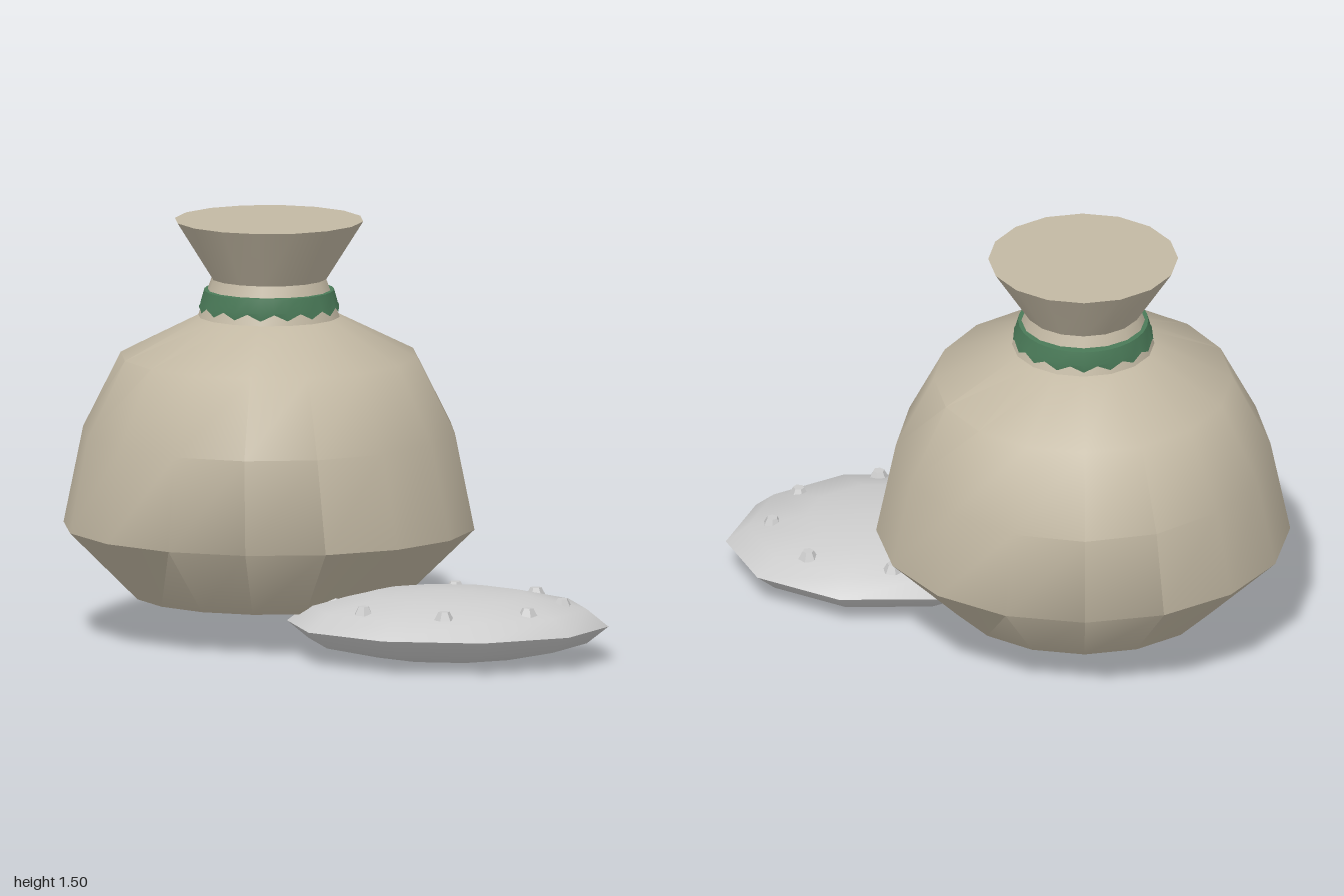
import * as THREE from 'three';
import { toCreasedNormals } from 'three/addons/utils/BufferGeometryUtils.js';

const CREASE = THREE.MathUtils.degToRad(40);

// Skin a stack of elliptical rings [y, radiusX, radiusZ, zigzag], bottom to top; radius 0 closes an end.
function loft(rings, sides) {
  const point = (i, j) => {
    const [y, rx, rz, zigzag = 0] = rings[i];
    const a = ((j % sides) / sides) * Math.PI * 2;
    return [rx * Math.cos(a), y + (j % 2 ? zigzag : 0), rz * Math.sin(a)];
  };
  const pos = [];
  for (let i = 0; i < rings.length - 1; i++) {
    for (let j = 0; j < sides; j++) {
      const a = point(i, j), b = point(i, j + 1), c = point(i + 1, j), d = point(i + 1, j + 1);
      if (rings[i][1] > 0) pos.push(...a, ...c, ...b);
      if (rings[i + 1][1] > 0) pos.push(...b, ...c, ...d);
    }
  }
  const geometry = new THREE.BufferGeometry();
  geometry.setAttribute('position', new THREE.Float32BufferAttribute(pos, 3));
  return toCreasedNormals(geometry, CREASE);
}

function addMesh(parent, name, geometry, material, x = 0, y = 0, z = 0) {
  const mesh = new THREE.Mesh(geometry, material);
  mesh.name = name;
  mesh.position.set(x, y, z);
  parent.add(mesh);
  return mesh;
}

export function createModel() {
  const model = new THREE.Group();
  model.name = 'tiedSackWithCushion';
  const cloth = new THREE.MeshStandardMaterial({ color: 0xc2b8a3 });
  const green = new THREE.MeshStandardMaterial({ color: 0x4a7a58, side: THREE.DoubleSide });
  const grey = new THREE.MeshStandardMaterial({ color: 0xcccccc });
  const studGrey = new THREE.MeshStandardMaterial({ color: 0xcccccc, flatShading: true });

  // Sack: domed base, bulging body, pinched neck and flared, closed mouth
  const sack = new THREE.Group();
  sack.name = 'sack';
  sack.position.set(-0.265, 0, -0.065);
  model.add(sack);
  addMesh(sack, 'sackBody', loft([
    [0.13, 0, 0],
    [0.155, 0.485, 0.475],
    [0.4, 0.735, 0.683],
    [0.745, 0.665, 0.712],
    [1.015, 0.53, 0.548],
    [1.155, 0.253, 0.243],
    [1.29, 0.205, 0.192],
    [1.5, 0.337, 0.327],
    [1.5, 0, 0],
  ], 16), cloth);

  // Tie band round the neck, with a ragged lower edge
  addMesh(sack, 'neckBand', loft([
    [1.172, 0.249, 0.245, 0.023],
    [1.2, 0.245, 0.246],
    [1.25, 0.231, 0.236],
    [1.25, 0.2, 0.19],
  ], 32), green);

  // Flat cushion lying half under the sack
  const cushion = new THREE.Group();
  cushion.name = 'cushion';
  cushion.position.set(0.425, 0.1275, 0.345);
  model.add(cushion);
  const pad = [];
  for (let i = 0; i <= 6; i++) {
    const a = (i / 6) * Math.PI;
    const r = i % 6 ? Math.sin(a) : 0;
    pad.push([-0.1225 * Math.cos(a), 0.575 * r, 0.452 * r]);
  }
  addMesh(cushion, 'cushionPad', loft(pad, 10), grey);

  // Studs in a slightly uneven ring on the cushion
  const studShape = new THREE.CylinderGeometry(0.02, 0.036, 0.03, 6);
  [0, 40, 86, 131, 180, 225, 268, 314].forEach((deg, i) => {
    const a = THREE.MathUtils.degToRad(deg);
    const stud = addMesh(cushion, `stud${i + 1}`, studShape, studGrey,
      0.41 * Math.cos(a), 0.082, 0.34 * Math.sin(a));
    stud.rotation.y = i * 0.4;
  });

  return model;
}
